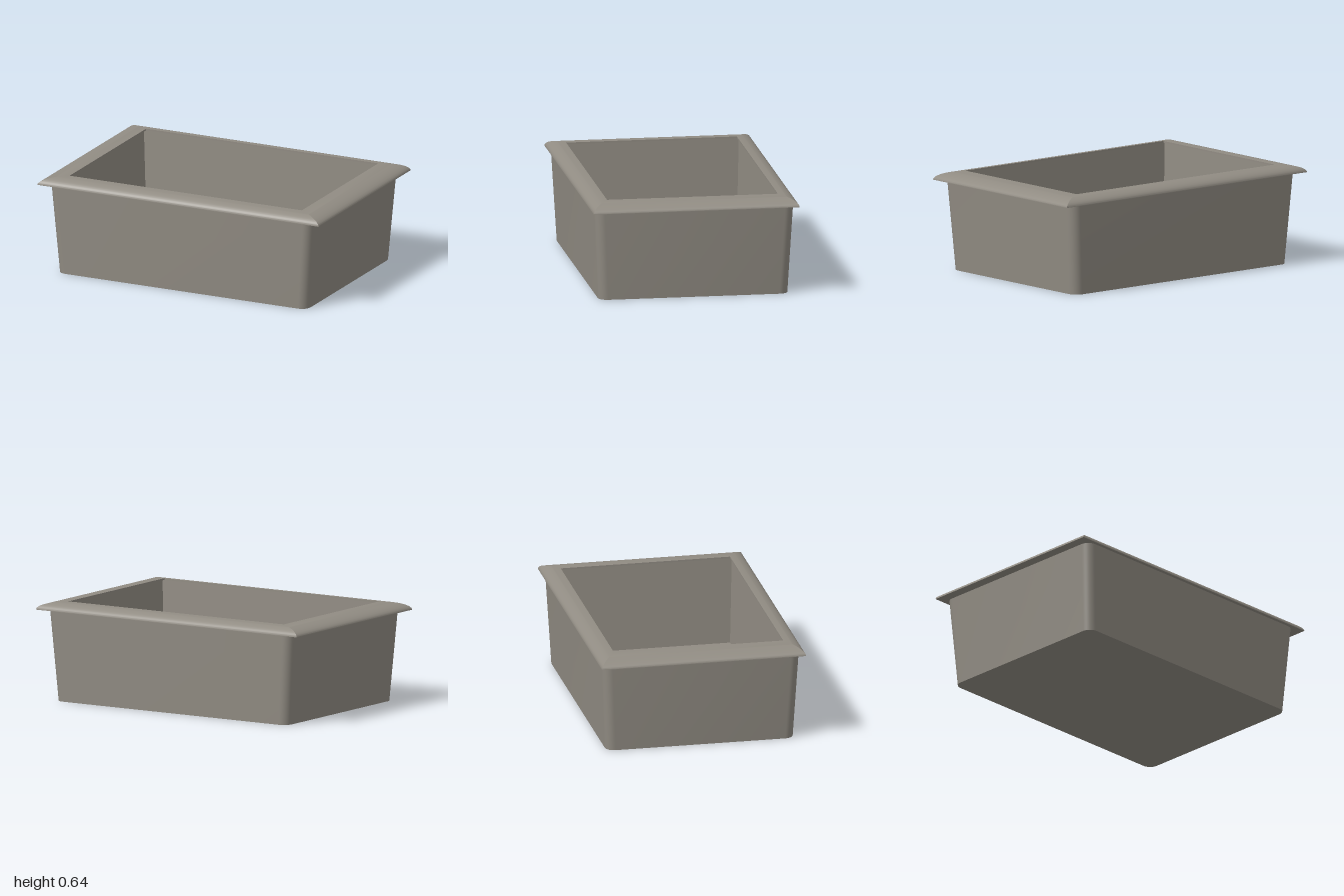
import * as THREE from 'three';
import { toCreasedNormals } from 'three/addons/utils/BufferGeometryUtils.js';

// Rectangle outline with corners rounded by radius r in n steps (n = 0: sharp)
function outline(hx, hz, y, r, n) {
  const points = [];
  for (let c = 0; c < 4; c++) {
    const sx = c === 0 || c === 3 ? 1 : -1;
    const sz = c < 2 ? 1 : -1;
    for (let i = 0; i <= n; i++) {
      const a = (c + (n ? i / n : 0)) * Math.PI / 2;
      points.push([sx * (hx - r) + r * Math.cos(a), y, sz * (hz - r) + r * Math.sin(a)]);
    }
  }
  return points;
}

// Skin over a list of rings [halfWidth, halfDepth, y, cornerRadius]
function loft(rings, n, crease) {
  const loops = rings.map(([hx, hz, y, r = 0]) => outline(hx, hz, y, r, n));
  const count = loops[0].length;
  const index = [];
  for (let k = 0; k < loops.length - 1; k++) {
    for (let i = 0; i < count; i++) {
      const j = (i + 1) % count;
      const a = k * count + i, b = k * count + j;
      index.push(a, a + count, b, b, a + count, b + count);
    }
  }
  const geometry = new THREE.BufferGeometry();
  geometry.setAttribute('position', new THREE.Float32BufferAttribute(loops.flat(2), 3));
  geometry.setIndex(index);
  return toCreasedNormals(geometry, crease);
}

export function createModel() {
  const group = new THREE.Group();
  const material = new THREE.MeshStandardMaterial({ color: 0x918c83, side: THREE.DoubleSide });
  const add = (name, geometry) => {
    const mesh = new THREE.Mesh(geometry, material);
    mesh.name = name;
    group.add(mesh);
  };

  // Tapered outside with rounded corners, and its underside
  add('outerWall', loft([
    [0.001, 0.001, 0],
    [0.888, 0.612, 0, 0.06],
    [0.934, 0.643, 0.6, 0.06],
  ], 8, 0.6));

  // Sharp-cornered inside with a flat floor
  add('basin', loft([
    [0.85, 0.568, 0.63],
    [0.826, 0.552, 0.06],
    [0.001, 0.001, 0.06],
  ], 0, 0.5));

  // Mitred rim: flat underside, quarter-round top curving in to a thin lip
  const rim = [[0.9, 0.61, 0.587], [1, 0.665, 0.587]];
  const steps = 32;
  for (let i = 1; i <= steps; i++) {
    const a = i / steps * Math.PI / 2;
    rim.push([0.826 + 0.174 * Math.cos(a), 0.552 + 0.113 * Math.cos(a), 0.587 + 0.054 * Math.sin(a)]);
  }
  rim.push([0.826, 0.552, 0.63], [0.85, 0.568, 0.63]);
  add('rim', loft(rim, 0, 0.25));

  return group;
}
